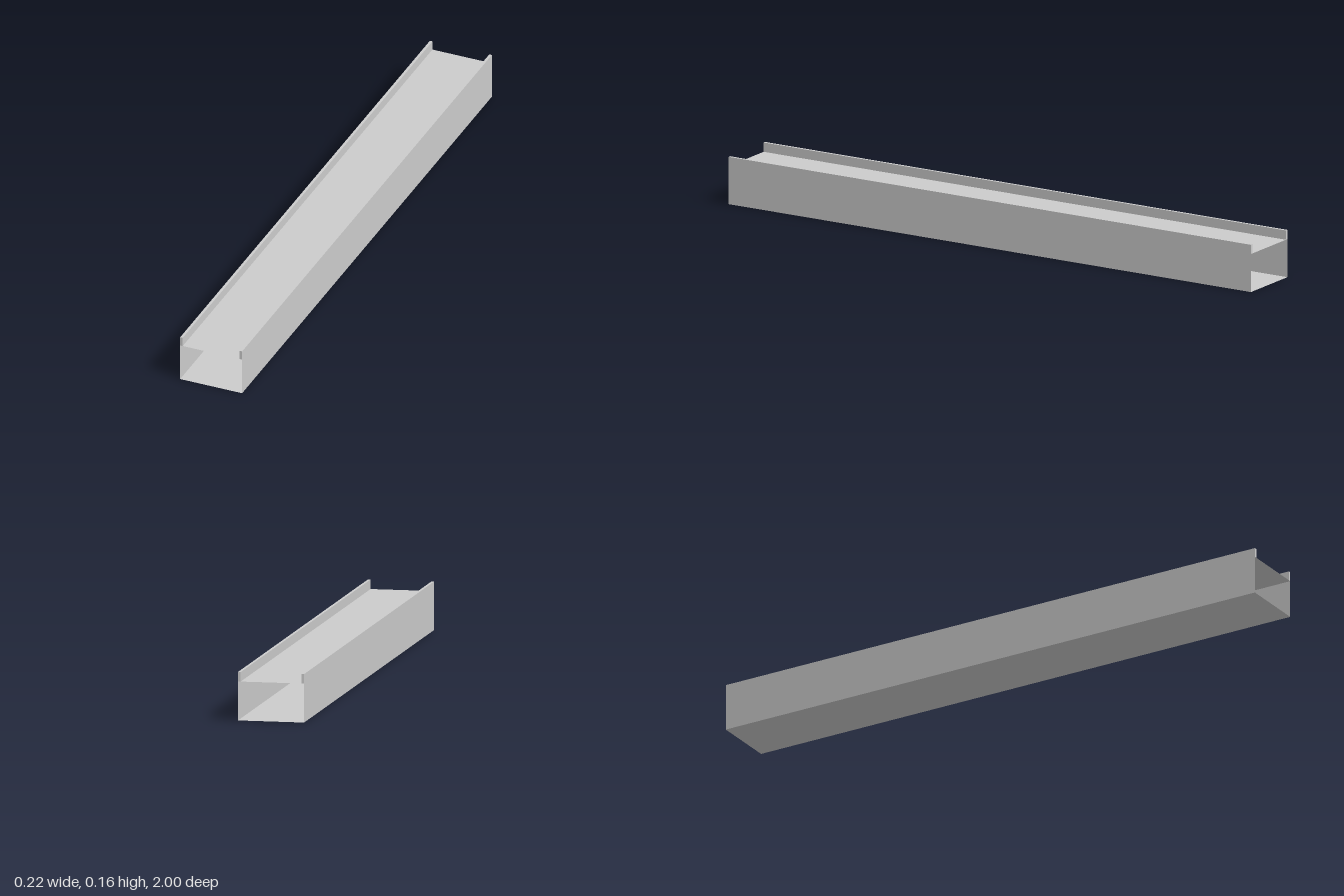
import * as THREE from 'three';

const LENGTH = 2;
const OUTER = 0.109;   // half width to the outside of the walls
const INNER = 0.1;     // half width between the rails
const DECK_Y = 0.127;
const TOP_Y = 0.158;

export function createModel() {
  const group = new THREE.Group();
  group.name = 'channelBeam';
  const solid = new THREE.MeshStandardMaterial({ color: 0xcccccc, flatShading: true });
  const sheet = new THREE.MeshStandardMaterial({ color: 0xcccccc, flatShading: true, side: THREE.DoubleSide });

  const add = (name, geometry, material, x, y) => {
    const mesh = new THREE.Mesh(geometry, material);
    mesh.name = name;
    mesh.position.set(x, y, 0);
    group.add(mesh);
  };

  // Thin horizontal sheets: the floor and the deck between the rails
  const floor = new THREE.PlaneGeometry(2 * OUTER, LENGTH).rotateX(Math.PI / 2);
  const deck = new THREE.PlaneGeometry(2 * INNER, LENGTH).rotateX(-Math.PI / 2);
  add('floor', floor, sheet, 0, 0);
  add('deck', deck, sheet, 0, DECK_Y);

  // Thin side walls, each carrying a solid rail that stands above the deck
  for (const [side, s] of [['left', 1], ['right', -1]]) {
    const wall = new THREE.PlaneGeometry(LENGTH, DECK_Y).rotateY(s * Math.PI / 2);
    const rail = new THREE.BoxGeometry(OUTER - INNER, TOP_Y - DECK_Y, LENGTH);
    add(side + 'Wall', wall, sheet, s * OUTER, DECK_Y / 2);
    add(side + 'Rail', rail, solid, s * (OUTER + INNER) / 2, (TOP_Y + DECK_Y) / 2);
  }
  return group;
}
